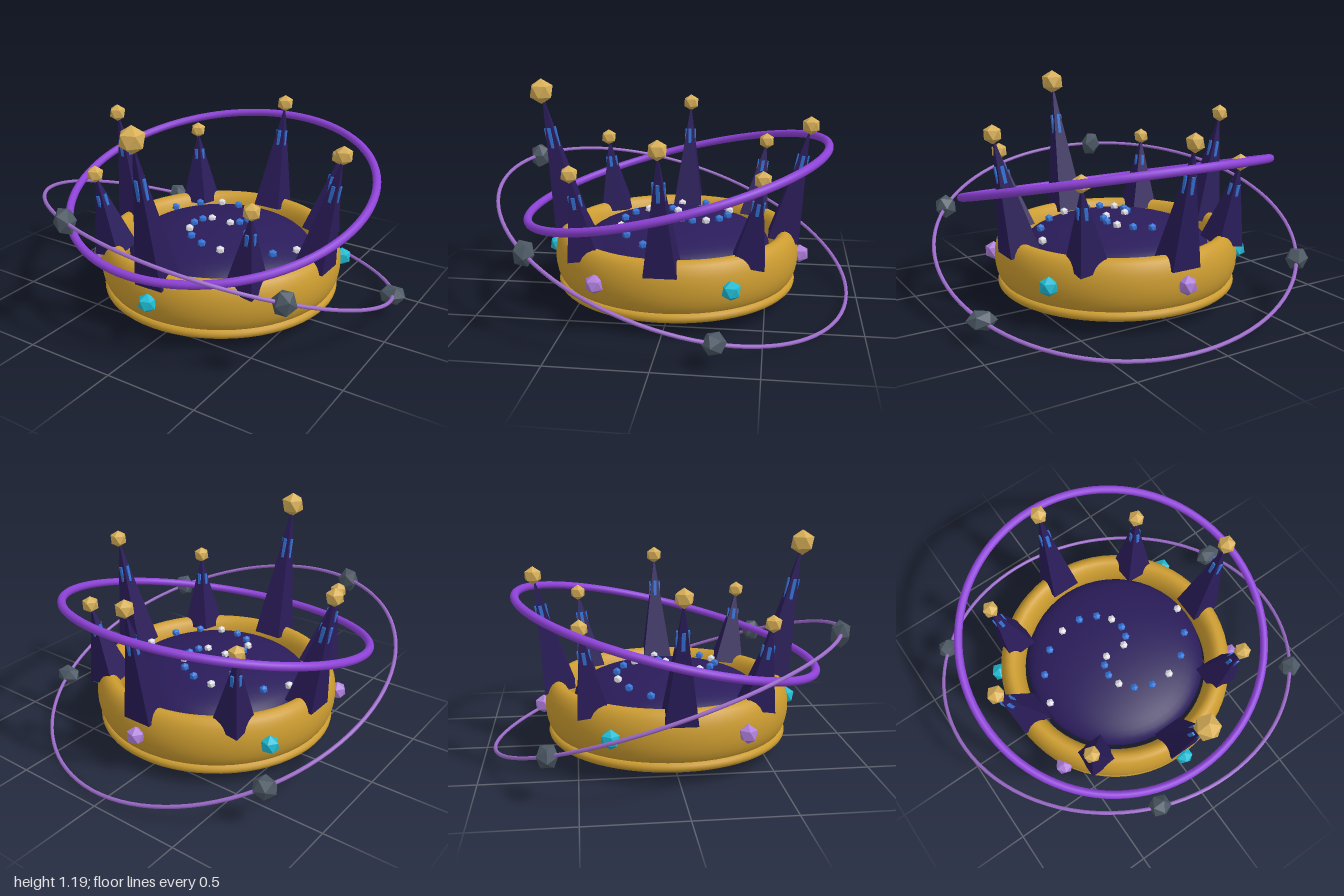
import * as THREE from 'three';

const mat = (name, color, flatShading = false) => {
  const m = new THREE.MeshStandardMaterial({ color, flatShading });
  m.name = name;
  return m;
};

export function createModel() {
  const gold = mat('gold', 0xcc9c30);
  const paleGold = mat('paleGold', 0xd8b058, true);
  const indigo = mat('indigo', 0x2a1c5a);
  const cyan = mat('cyan', 0x20bcd4, true);
  const lilac = mat('lilac', 0xb080dc, true);
  const violet = mat('violet', 0x8e42d8);
  const mauve = mat('mauve', 0x9e6ccc);
  const slate = mat('slate', 0x4c5864, true);
  const blue = mat('blue', 0x3474d8, true);
  const silver = mat('silver', 0xe0e0e8, true);

  const crown = new THREE.Group();
  crown.name = 'crown';
  const add = (name, geometry, material, parent = crown, pos = [0, 0, 0]) => {
    const mesh = new THREE.Mesh(geometry, material);
    mesh.name = name;
    mesh.position.set(...pos);
    parent.add(mesh);
    return mesh;
  };
  // icosahedron standing on one corner
  const gem = (r) => new THREE.IcosahedronGeometry(r).rotateZ(Math.atan(2 / (1 + Math.sqrt(5))));

  // Band: a ring of tall oval section, with a slim rim below
  add('band', new THREE.TorusGeometry(0.6, 0.07, 24, 64).rotateX(Math.PI / 2).scale(1, 2.05, 1), gold, crown, [0, 0.253, 0]);
  add('bottomRim', new THREE.TorusGeometry(0.63, 0.026, 12, 64).rotateX(Math.PI / 2), gold, crown, [0, 0.108, 0]);

  // Cushion: flattened sphere
  const domeY = 0.295, domeR = 0.512, domeH = 0.152;
  add('cushion', new THREE.SphereGeometry(domeR, 48, 24).scale(1, domeH / domeR, 1), indigo, crown, [0, domeY, 0]);

  // Stars on the cushion in two spiral arms
  const star = gem(0.024);
  for (let arm = 0; arm < 2; arm++) {
    for (let i = 0; i < 10; i++) {
      const r = 0.06 + 0.045 * i, a = 0.355 * i + arm * Math.PI;
      const y = domeY + domeH * Math.sqrt(1 - (r / domeR) ** 2) + 0.004 + 0.04 * r;
      add('star', star, i % 3 ? blue : silver, crown, [r * Math.cos(a), y, -r * Math.sin(a)]);
    }
  }

  // Spikes: square pyramids leaning outward, each with a gold tip
  const half = 0.083, lean = 0.2, baseY = 0.342;
  for (let i = 0; i < 8; i++) {
    const a = (i * Math.PI) / 4;
    const [tipY, tipR] = i === 0 ? [1.12, 0.07] : i % 2 ? [0.779, 0.047] : [0.964, 0.05];
    const length = (tipY - baseY) / Math.cos(lean), h = length - 0.01;
    const spike = new THREE.Group();
    spike.name = 'spike';
    spike.position.set(0.588 * Math.sin(a), baseY, 0.588 * Math.cos(a));
    const axis = new THREE.Vector3(Math.sin(lean) * Math.sin(a), Math.cos(lean), Math.sin(lean) * Math.cos(a));
    spike.quaternion.setFromUnitVectors(new THREE.Vector3(0, 1, 0), axis);
    crown.add(spike);

    const body = new THREE.ConeGeometry(half * Math.SQRT2, h, 4).rotateY(Math.PI / 4).translate(0, h / 2, 0);
    const faceted = body.toNonIndexed();
    faceted.computeVertexNormals();
    add('spikeBody', faceted, indigo, spike);
    // thin upright strip on each face, sinking in at its lower end
    for (let k = 0; k < 4; k++) {
      const t = 0.67;
      const strip = new THREE.BoxGeometry(0.018, h * 0.17, 0.008)
        .translate(0, h * t, half * (1 - t) + 0.001)
        .rotateY((k * Math.PI) / 2);
      add('spikeStrip', strip, blue, spike);
    }
    const tip = add('spikeTip', gem(tipR), paleGold, spike, [0, length, 0]);
    tip.quaternion.copy(spike.quaternion).invert();
  }

  // Jewels around the band
  for (let i = 0; i < 6; i++) {
    const a = (i * Math.PI) / 3;
    add('bandJewel', gem(0.052), i % 2 ? lilac : cyan, crown, [0.68 * Math.sin(a), 0.25, 0.68 * Math.cos(a)]);
  }

  // Halo tilted down at the front
  add('halo', new THREE.TorusGeometry(0.838, 0.022, 12, 96).rotateX(Math.PI / 2 + 0.245), violet, crown, [0, 0.661, 0]);

  // Thin orbit ring in the plane y = cy + sx * x + sz * z
  const cy = 0.35, sx = -0.14, sz = 0.33;
  const orbit = add('orbitRing', new THREE.TorusGeometry(0.995, 0.01, 8, 96), mauve, crown, [-0.004, cy, 0]);
  orbit.quaternion.setFromUnitVectors(new THREE.Vector3(0, 0, 1), new THREE.Vector3(-sx, 1, -sz).normalize());

  // Rocks riding the orbit: x, z, then scale
  const rocks = [
    [-0.335, 0.87, 0.06, 0.078, 0.058], [0.75, 0.64, 0.064, 0.07, 0.06],
    [-0.76, -0.64, 0.068, 0.062, 0.06], [0.92, -0.285, 0.08, 0.055, 0.06],
  ];
  rocks.forEach(([x, z, a, b, c], i) => {
    const geometry = new THREE.IcosahedronGeometry(1).rotateY(i * 0.8).scale(a, b, c);
    const rock = add('orbitRock', geometry, slate, crown, [x, cy + sx * x + sz * z, z]);
    rock.rotation.z = [0.15, -0.2, -0.3, 0.1][i];
  });

  return crown;
}
